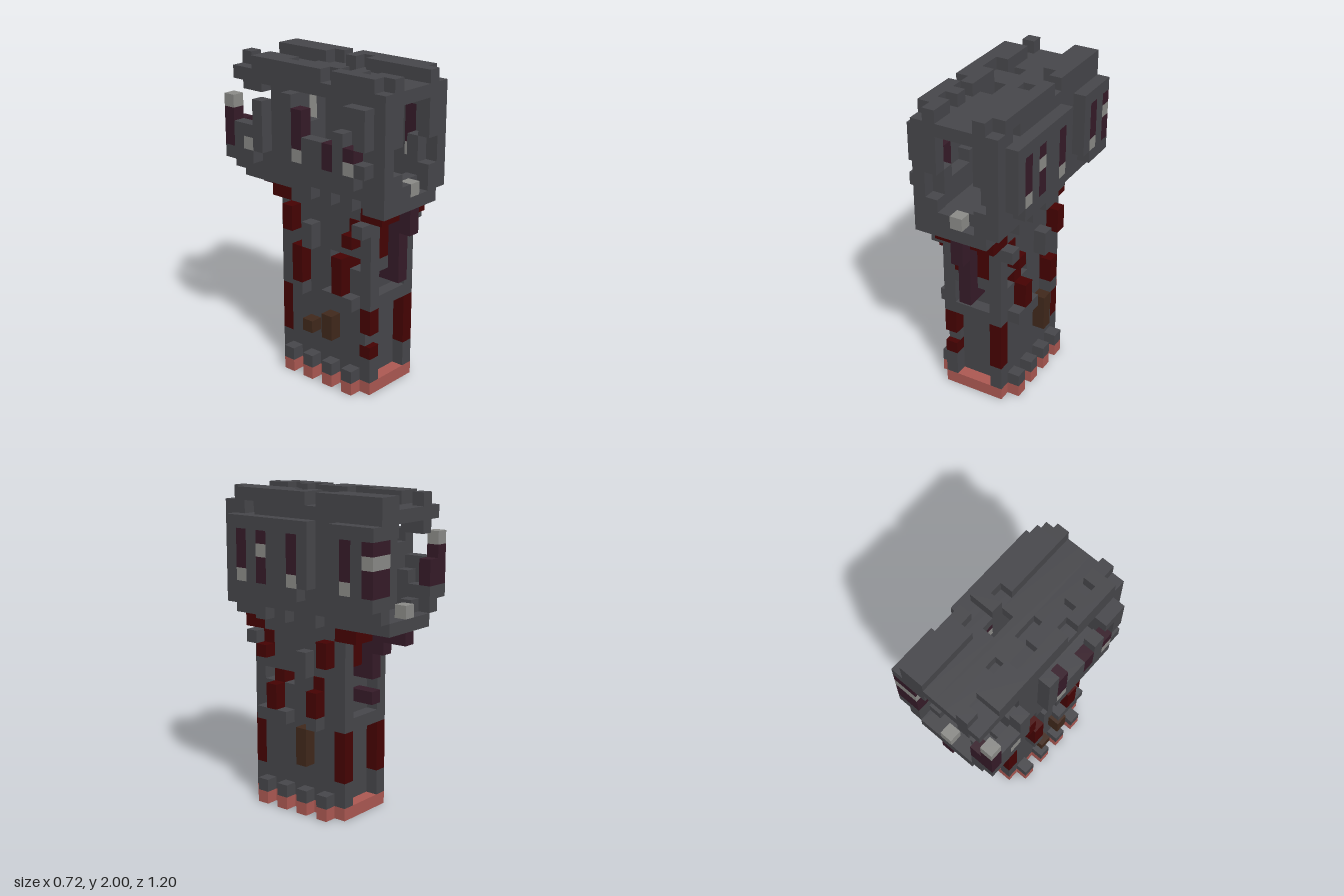
import * as THREE from 'three';

const U = 0.08; // one block
const mat = (name, color) => Object.assign(new THREE.MeshStandardMaterial({ color }), { name });

export function createModel() {
  const model = new THREE.Group();
  model.name = 'blockTower';
  const dark = mat('dark grey', 0x46464a), light = mat('light grey', 0x8a8a87);
  const purple = mat('dark purple', 0x351b28), red = mat('dark red', 0x450202);
  const salmon = mat('salmon', 0xab5852), brown = mat('brown', 0x40281b);

  // box between two corners, in blocks
  const box = (name, m, x0, x1, y0, y1, z0, z1) => {
    const mesh = new THREE.Mesh(new THREE.BoxGeometry((x1 - x0) * U, (y1 - y0) * U, (z1 - z0) * U), m);
    mesh.position.set((x0 + x1) / 2 * U, (y0 + y1) / 2 * U, (z0 + z1) / 2 * U);
    mesh.name = name;
    model.add(mesh);
  };
  // column of width 1 centred on block (x, z)
  const col = (name, m, x, y0, y1, z) => box(name, m, x - 0.5, x + 0.5, y0, y1, z - 0.5, z + 0.5);
  // the same box on both sides of x = 0
  const pair = (name, m, x0, x1, y0, y1, z0, z1) => {
    box(name, m, x0, x1, y0, y1, z0, z1);
    box(name, m, -x1, -x0, y0, y1, z0, z1);
  };

  // foot with a crenellated edge
  box('foot', salmon, -2.5, 2.5, 0, 1, -3.5, 5.5);
  for (const z of [-2, 0, 2, 4]) {
    pair('footSide', salmon, 2.5, 3.5, 0, 1, z - 0.5, z + 0.5);
    pair('footCrenel', dark, 2.5, 3.5, 1, 2, z - 0.5, z + 0.5);
  }

  // shaft, with two slots right through its sides
  box('lowerShaft', dark, -2.5, 2.5, 1, 10, -2.5, 4.5);
  box('slotWall', dark, -2.5, 2.5, 10, 11, -2.5, 1.5);
  box('slotPost', red, -2.5, 2.5, 10, 11, 2.5, 3.5);
  box('upperShaft', dark, -2.5, 2.5, 11, 15, -2.5, 4.5);

  // corner posts
  for (const z of [-3, 5]) for (const x of [-2, 2]) {
    col('cornerFoot', dark, x, 1, 3, z);
    if (x < 0 && z > 0) {
      col('cornerPost', red, x, 3, 4, z);
      col('cornerPost', dark, x, 4, 5, z - 0.5);
      col('cornerPost', red, x, 5, 7, z);
    } else col('cornerPost', red, x, 3, 7, z);
    col('cornerUpper', dark, x, 7, 14, z);
  }
  box('frontLedge', dark, -1.5, 1.5, 7, 8, 4.5, 5.5);
  box('frontPanel', dark, -1.5, 1.5, 10, 11, 4.5, 5.5);
  box('backLedge', dark, -1.5, 1.5, 7, 8, -3.5, -2.5);

  // side blocks
  for (const s of [-1, 1]) {
    const patch = (y0, y1, z) => // thin red plate on the shaft side
      box('redPatch', red, s > 0 ? 2.5 : -2.6, s > 0 ? 2.6 : -2.5, y0, y1, z - 0.5, z + 0.5);
    for (const z of [-1, 3]) col('sideRed', red, 3 * s, 8, s > 0 ? 10 : 11, z);
    patch(10, 11, -1);
    col('sideCap', dark, 3 * s, 7, 8, -1);
    col('upperSideRed', red, 3 * s, 12, 13, 4);
    patch(13, 14, 4);
    col('upperSideRed', red, 3 * s, 12, 14, -2);
    col('upperSideBlock', dark, 3 * s, 11, 13, 0);
    col('upperSideCap', dark, 3 * s, 13, 14, 5);
  }
  pair('sideShelf', dark, 2.5, 3.5, 7, 8, 1.5, 4.5);
  col('brownBlock', brown, 3, 4, 7, 0);
  col('brownBlock', brown, -3, 4, 5, 0);
  col('brownBlock', brown, -3, 4, 6, 2);

  // collar under the head
  box('frontCollar', red, -2.5, 2.5, 14, 15, 4.5, 6.5);
  box('backCollar', red, -2.5, 2.5, 14, 15, -4.5, -2.5);
  for (const x of [-1, 1]) {
    col('frontDrip', red, x, 11, 14, 5);
    col('backDrip', red, x, 12, 14, -3);
  }

  // stepped spines, front and back
  box('frontSpine', purple, -0.5, 0.5, 9, 15, 4.5, 6.52);
  box('frontSpineTop', purple, -0.5, 0.5, 13, 15, 6.5, 7.5);
  box('backSpine', purple, -0.5, 0.5, 11, 15, -4.52, -2.5);
  box('backSpineStep', purple, -0.5, 0.5, 13, 15, -5.5, -4.5);
  box('backSpineTop', purple, -0.5, 0.5, 14, 15, -7.5, -5.5);
  box('backSpineTip', purple, -0.5, 0.5, 9, 10, -4.5, -2.5);

  // head floor with a notched lower edge
  box('headFloor', dark, -2.5, 2.5, 15, 16, -7.5, 7.5);
  for (const z of [-1, 0, 2, 4]) pair('floorTooth', dark, 2.5, 3.5, 15, 16, z - 0.5, z + 0.5);
  box('floorCorner', dark, -3.5, -2.5, 15, 16, 5.5, 7.5);

  // roof with a few holes
  box('headRoof', dark, -3.5, -1.5, 23, 24, -7.5, 7.5);
  box('headRoof', dark, -0.5, 0.5, 23, 24, -7.5, 7.5);
  box('headRoof', dark, 1.5, 2.5, 23, 24, -7.5, 7.5);
  for (const [x, z0, z1] of [
    [-1, -7.5, -3.5], [-1, -2.5, -0.5], [-1, 1.5, 7.5],
    [1, -7.5, -1.5], [1, 0.5, 7.5], [3, -7.5, 4.5], [3, 5.5, 7.5],
  ]) box('headRoof', dark, x - 0.5, x + 0.5, 23, 24, z0, z1);
  pair('roofBracket', dark, 1.5, 2.5, 22, 23, -7.5, -5.5);

  // hollow head, its right wall partly broken away
  box('leftWallLow', dark, 2.5, 3.5, 16, 18, -7.5, 7.5);
  box('leftWallTop', dark, 2.5, 3.5, 22, 23, -7.5, 7.5);
  box('leftWallMid', dark, 2.5, 3.5, 18, 22, -3.5, -1.5);
  box('leftWallFront', dark, 2.5, 3.5, 18, 22, 6.5, 7.5);
  box('rightWallLow', dark, -3.5, -2.5, 16, 18, -7.5, 7.5);
  box('rightWallBack', dark, -3.5, -2.5, 18, 19, -5.5, 1.5);
  box('rightWallMid', dark, -3.5, -2.5, 19, 21, -4.5, 0.5);
  box('rightWallTop', dark, -3.5, -2.5, 21, 23, -3.5, -0.5);
  box('rightWallFront', dark, -3.5, -2.5, 18, 23, 5.5, 7.5);
  pair('frontWall', dark, 1.5, 2.5, 16, 18, 6.5, 7.5);
  pair('frontWallInset', dark, 1.5, 2.5, 18, 20, 5.5, 6.5);
  pair('frontWallTop', dark, 1.5, 2.5, 20, 23, 6.5, 7.5);
  box('frontSill', dark, -1.5, 0.5, 16, 17, 5.5, 6.5);
  col('frontSillEnd', dark, -1, 16, 17, 7);
  col('frontSillEnd', dark, 1, 16, 17, 6);
  col('frontStud', light, 0, 16, 17, 7);
  col('backStud', light, 0, 16, 17, -7);
  pair('backSill', dark, 1.5, 2.5, 16, 17, -6.5, -5.5);

  // broken inner plate
  col('innerPlate', light, -1, 18, 20, -4);
  col('innerPlate', light, -1, 21, 23, -4);
  box('innerPlate', light, -0.5, 1.5, 16, 22, -4.5, -3.5);
  col('innerPlateTop', dark, 0, 22, 23, -4);
  pair('innerPlateEdge', dark, 1.5, 2.5, 16, 23, -4.5, -3.5);

  // striped side panels: [z of stripe, height of the light block]
  const stripes = [[5, 18], [3, 20], [0, 18], [-5, 18], [-7, 20]];
  const stripe = (x, z, lit, top) => {
    for (let y = 18; y < top; y++) col('panelStripe', y === lit ? light : purple, x, y, y + 1, z);
  };
  // the left stripes go right through the wall
  for (const [z, lit] of stripes) for (const x of [3, 4]) stripe(x, z, lit, 22);
  for (const [z0, z1] of [[3.5, 4.5], [0.5, 2.5], [-6.5, -5.5]])
    box('leftPanelBar', dark, 2.5, 4.5, 18, 22, z0, z1);
  box('leftPanelEnd', dark, 2.5, 4.5, 18, 22, 5.5, 6.5);
  for (const z of [-1, -4]) box('leftPanelEnd', dark, 2.5, 4.5, 18, 22, z - 0.5, z + 0.5);
  for (const [z0, z1] of [[-1.5, 6.5], [-7.5, -3.5]])
    box('leftPanelTop', dark, 3.5, 4.5, 22, 23, z0, z1);
  for (const [z0, z1] of [[-0.5, 5.5], [-7.5, -4.5]])
    pair('panelBottom', dark, 3.5, 4.5, 17, 18, z0, z1);

  // right panel, damaged
  stripe(-4, 5, 18, 20);
  stripe(-4, 3, 20, 20);
  stripe(-4, 0, 18, 22);
  stripe(-4, -5, 18, 19);
  stripe(-4, -7, 21, 22);
  stripe(-3, -7, 21, 20);
  col('rightPanelBar', dark, -4, 18, 19, 6);
  col('rightPanelBar', dark, -4, 20, 23, 6);
  col('rightPanelBar', dark, -4, 18, 21, 4);
  box('rightPanelBar', dark, -4.5, -3.5, 18, 20, 0.5, 2.5);
  col('rightPanelBar', dark, -4, 18, 23, -1);
  col('rightPanelBar', dark, -4, 18, 22, -4);
  box('rightPanelBar', dark, -4.5, -3.5, 19, 20, -6.5, -4.5);
  col('rightPanelBar', dark, -4, 18, 19, -6);
  box('rightPanelTop', dark, -4.5, -3.5, 22, 23, 4.5, 5.5);

  // broken roof ridges
  for (const [x0, x1, z0, z1] of [
    [1.5, 3.5, -7.5, -2.5], [2.5, 3.5, -2.5, -1.5], [1.5, 3.5, -0.5, 0.5],
    [2.5, 3.5, 0.5, 1.5], [1.5, 3.5, 1.5, 6.5], [1.5, 2.5, 6.5, 7.5],
    [-2.5, -1.5, -7.5, -6.5], [-3.5, -1.5, -5.5, -2.5], [-3.5, -2.5, -2.5, 1.5],
    [-2.5, -1.5, -0.5, 2.5], [-3.5, -2.5, 2.5, 5.5], [-2.5, -1.5, 3.5, 4.5],
    [-3.5, -1.5, 5.5, 6.5], [-2.5, -1.5, 6.5, 7.5],
  ]) box('roofRidge', dark, x0, x1, 24, 25, z0, z1);

  return model;
}
